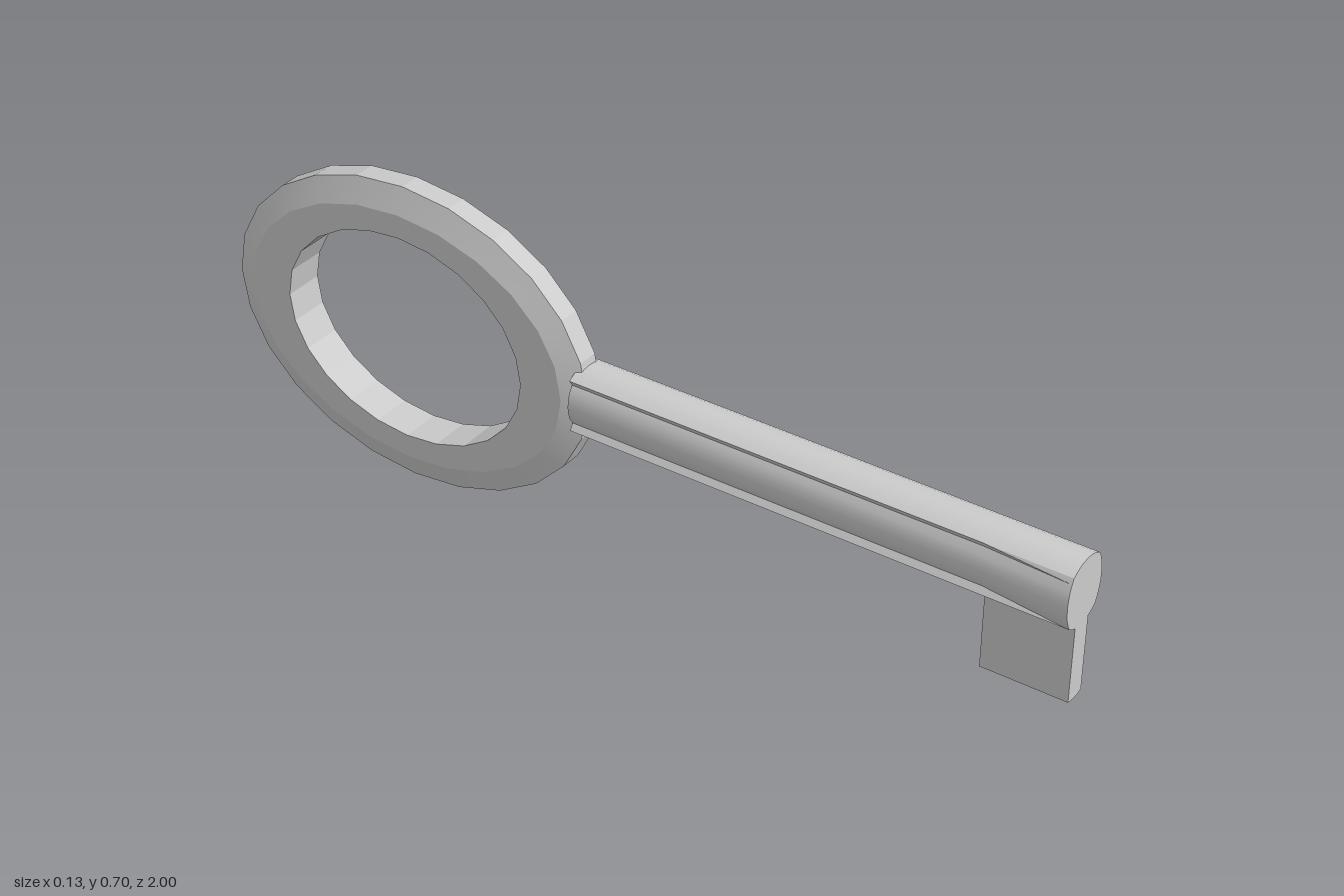
import * as THREE from 'three';
import { toCreasedNormals } from 'three/addons/utils/BufferGeometryUtils.js';

const CENTER_Y = 0.348;
const grey = new THREE.MeshStandardMaterial({ color: 0xcccccc });

// Skin a list of equal-length point loops; optionally join last to first or cap both ends.
function loft(loops, { closed = false, caps = false, crease = 0.5 } = {}) {
  const n = loops[0].length, index = [];
  const points = loops.flat();
  const bands = closed ? loops.length : loops.length - 1;
  for (let i = 0; i < bands; i++) {
    const a = i * n, b = ((i + 1) % loops.length) * n;
    for (let j = 0; j < n; j++) {
      const k = (j + 1) % n;
      index.push(a + j, a + k, b + k, a + j, b + k, b + j);
    }
  }
  if (caps) {
    const last = (loops.length - 1) * n;
    const flat = loops.map((l) => l.map((p) => new THREE.Vector2(p.x, p.y)));
    for (const [a, b, c] of THREE.ShapeUtils.triangulateShape(flat[0], [])) index.push(c, b, a);
    for (const [a, b, c] of THREE.ShapeUtils.triangulateShape(flat.at(-1), [])) index.push(last + a, last + b, last + c);
  }
  const geometry = new THREE.BufferGeometry().setFromPoints(points);
  geometry.setIndex(index);
  return toCreasedNormals(geometry, crease);
}

function part(name, geometry) {
  const mesh = new THREE.Mesh(geometry, grey);
  mesh.name = name;
  return mesh;
}

// Mirror a quarter outline (top centre to right side) into a counter-clockwise loop.
function shaftSection(quarter, z) {
  const right = [...quarter, ...quarter.slice(0, -1).reverse().map(([x, y]) => [x, -y])];
  const left = right.slice(1, -1).reverse().map(([x, y]) => [-x, y]);
  return [...right, ...left].reverse().map(([x, y]) => new THREE.Vector3(x, y, z));
}

export function createModel() {
  const key = new THREE.Group();
  key.name = 'key';

  // Oval bow: 24-sided, with a bevelled outer rim and a straight-walled hole
  const profile = [ // z radius, y radius, x
    [0.30, 0.239, 0.045], [0.40, 0.292, 0.045], [0.45, 0.348, 0.024],
    [0.45, 0.348, -0.024], [0.40, 0.292, -0.045], [0.30, 0.239, -0.045],
  ];
  const rings = profile.map(([rz, ry, x]) => Array.from({ length: 24 }, (_, i) => {
    const a = (i / 24) * Math.PI * 2;
    return new THREE.Vector3(x, ry * Math.sin(a), rz * Math.cos(a));
  }));
  const bow = part('bow', loft(rings, { closed: true, crease: 0.2 }));
  bow.position.set(0, CENTER_Y, -0.55);
  key.add(bow);

  // Shaft: grooved between cap and sides, swelling to a full round at the tip
  const cap = [[0, 0.0745], [0.018, 0.073], [0.035, 0.067], [0.049, 0.059]];
  const grooved = [...cap, [0.04, 0.045], [0.05, 0.03], [0.054, 0.015], [0.056, 0]];
  const tip = [...cap, [0.055, 0.048], [0.061, 0.032], [0.064, 0.016], [0.065, 0]];
  const shaft = part('shaft', loft(
    [shaftSection(grooved, -0.125), shaftSection(grooved, 0.81), shaftSection(tip, 1)],
    { caps: true }));
  shaft.position.y = CENTER_Y;
  key.add(shaft);

  // Bit: plate below the tip with a slightly rounded lower edge
  const outline = new THREE.Shape();
  outline.moveTo(-0.025, 0.32);
  outline.lineTo(-0.025, 0.103);
  outline.quadraticCurveTo(0, 0.096, 0.025, 0.103);
  outline.lineTo(0.025, 0.32);
  const bit = part('bit', toCreasedNormals(new THREE.ExtrudeGeometry(
    outline, { depth: 0.19, bevelEnabled: false, curveSegments: 4 }), 0.5));
  bit.position.z = 0.81;
  key.add(bit);

  return key;
}
